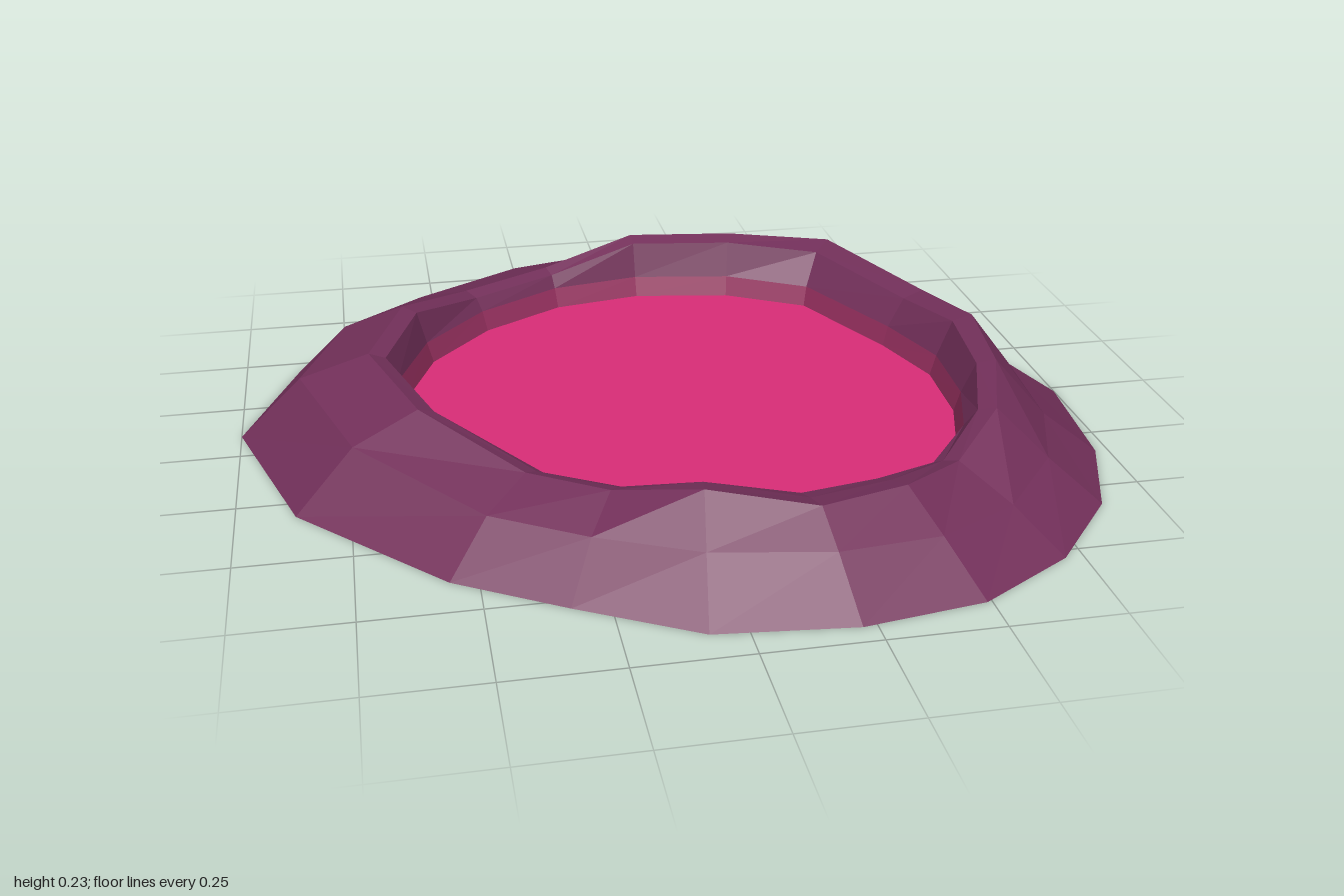
import * as THREE from 'three';

// Ground outline and pool outline, as matching [x, z] corners
const BASE = [[1, 0.02], [0.97, 0.34], [0.88, 0.58], [0.71, 0.78], [0.49, 0.91], [0.22, 0.95],
  [-0.08, 0.92], [-0.33, 0.78], [-0.56, 0.64], [-0.87, 0.31], [-1, -0.1], [-0.87, -0.44],
  [-0.64, -0.71], [-0.33, -0.9], [0.02, -0.96], [0.38, -0.9], [0.69, -0.72], [0.9, -0.25]];
const POOL = [[0.66, 0.04], [0.65, 0.24], [0.6, 0.4], [0.49, 0.52], [0.34, 0.6], [0.17, 0.63],
  [-0.03, 0.6], [-0.18, 0.52], [-0.33, 0.42], [-0.52, 0.22], [-0.61, -0.05], [-0.53, -0.26],
  [-0.38, -0.43], [-0.18, -0.55], [0.04, -0.59], [0.28, -0.55], [0.47, -0.44], [0.6, -0.15]];
// Crest height, crest position and shoulder height around the rim
const CREST_Y = [0.235, 0.222, 0.19, 0.14, 0.16, 0.16, 0.2, 0.15, 0.145, 0.2, 0.21, 0.225,
  0.18, 0.18, 0.235, 0.235, 0.225, 0.215];
const CREST_T = [0.29, 0.26, 0.25, 0.22, 0.3, 0.36, 0.33, 0.25, 0.22, 0.2, 0.2, 0.2,
  0.18, 0.16, 0.2, 0.22, 0.42, 0.36];
const SHOULDER_Y = [0.09, 0.09, 0.09, 0.08, 0.09, 0.1, 0.11, 0.1, 0.1, 0.14, 0.15, 0.15,
  0.12, 0.12, 0.13, 0.13, 0.12, 0.1];
const POOL_Y = 0.085;
const N = BASE.length;

// Ring between the pool (t = 0) and the ground outline (t = 1)
function ring(t, y) {
  return BASE.map(([bx, bz], i) => {
    const [px, pz] = POOL[i], k = t(i);
    return [px + (bx - px) * k, y(i), pz + (bz - pz) * k];
  });
}

// Faceted surface through successive rings, outside to inside
function band(rings) {
  const pos = [];
  for (let r = 0; r < rings.length - 1; r++) {
    const a = rings[r], b = rings[r + 1];
    for (let i = 0; i < N; i++) {
      const j = (i + 1) % N;
      pos.push(...a[i], ...b[i], ...a[j], ...a[j], ...b[i], ...b[j]);
    }
  }
  return toGeometry(pos);
}

// Flat cap over a ring, facing up or down
function cap(points, up) {
  const pos = [], c = [0, points[0][1], 0];
  for (let i = 0; i < N; i++) {
    const j = (i + 1) % N;
    pos.push(...c, ...points[up ? j : i], ...points[up ? i : j]);
  }
  return toGeometry(pos);
}

function toGeometry(pos) {
  const g = new THREE.BufferGeometry();
  g.setAttribute('position', new THREE.Float32BufferAttribute(pos, 3));
  g.computeVertexNormals();
  return g;
}

export function createModel() {
  const group = new THREE.Group();
  group.name = 'craterPool';
  const rock = new THREE.MeshStandardMaterial({ color: 0x73305a, flatShading: true });
  const wet = new THREE.MeshStandardMaterial({ color: 0x96305f, flatShading: true });
  const liquid = new THREE.MeshStandardMaterial({ color: 0xdb2d78, flatShading: true });
  const add = (name, geometry, material) => {
    const mesh = new THREE.Mesh(geometry, material);
    mesh.name = name;
    group.add(mesh);
  };

  const ground = ring(() => 1, () => 0);
  const shoulder = ring(() => 0.62, (i) => SHOULDER_Y[i]);
  const crest = ring((i) => CREST_T[i], (i) => CREST_Y[i]);
  const lip = ring((i) => CREST_T[i] * 0.5, (i) => CREST_Y[i] - 0.012);
  const wallTop = ring(() => 0.04, (i) => Math.min(0.135, CREST_Y[i] - 0.025));
  const poolEdge = ring(() => 0, () => POOL_Y);

  // Rocky mound with its uneven rim
  add('craterRim', band([ground, shoulder, crest, lip, wallTop]), rock);
  // Short wall just above the liquid
  add('innerWall', band([wallTop, poolEdge]), wet);
  add('poolSurface', cap(poolEdge, true), liquid);
  add('underside', cap(ground, false), rock);
  return group;
}
